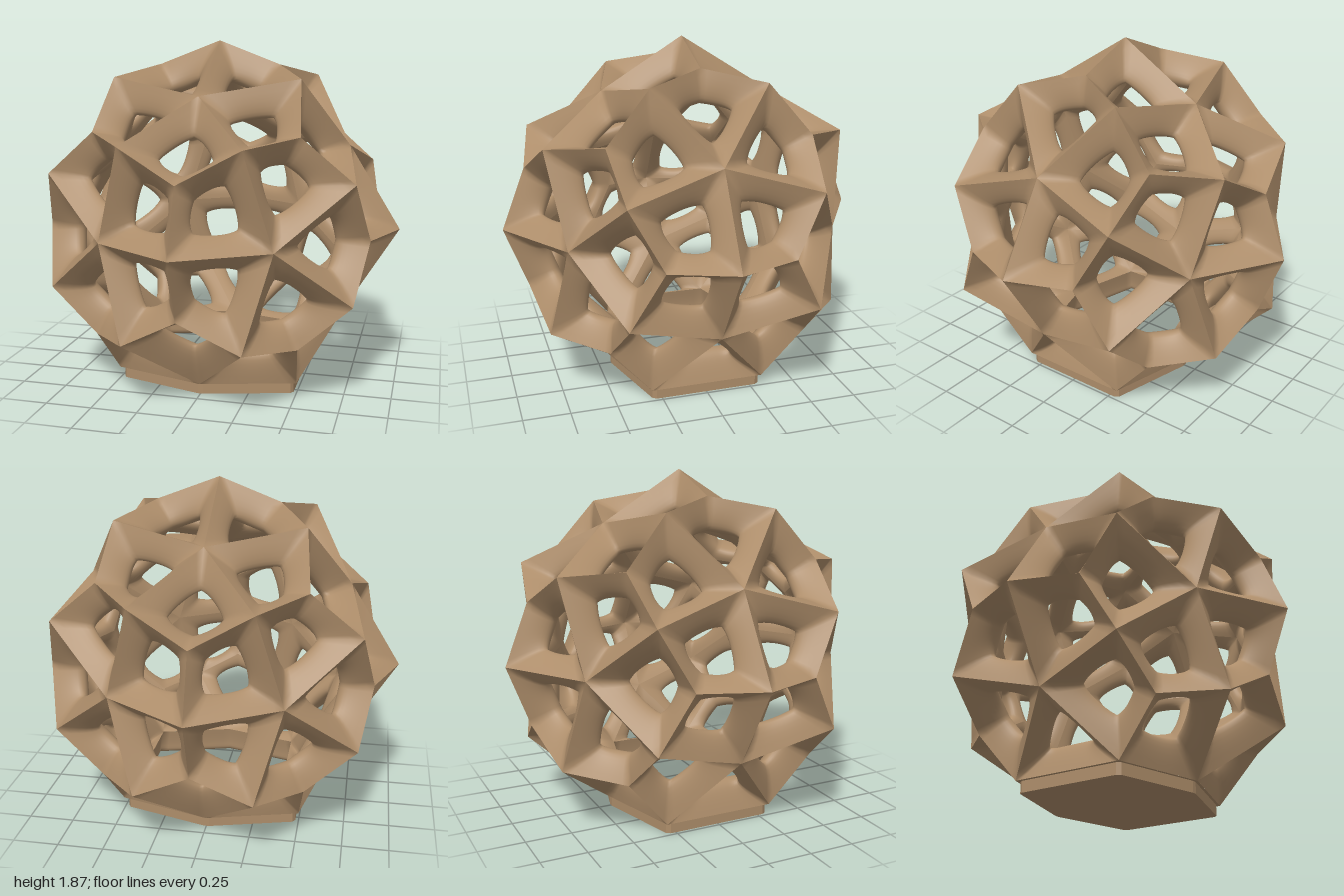
import * as THREE from 'three';
import { mergeGeometries } from 'three/addons/utils/BufferGeometryUtils.js';

const CENTRE_Y = 0.87, FLOOR = -0.809;
const vec = (x, y, z) => new THREE.Vector3(x, y, z);

// All sign changes and cyclic shifts of one point
function orbit(x, y, z, cyclic = true) {
  const points = [];
  for (let shift = 0; shift < (cyclic ? 3 : 1); shift++) {
    for (const sx of x ? [1, -1] : [1])
      for (const sy of y ? [1, -1] : [1])
        for (const sz of z ? [1, -1] : [1]) {
          const p = [x * sx, y * sy, z * sz];
          points.push(vec(p[shift], p[(shift + 1) % 3], p[(shift + 2) % 3]));
        }
  }
  return points;
}

// Flatten the underside so the lattice sits on a hexagon
function settle(p) {
  if (p.y > -0.7) return p;
  return Math.abs(p.z) < 0.01 ? vec(Math.sign(p.x) * 0.5, FLOOR, 0) : vec(p.x, FLOOR, p.z);
}

// Closed loop around the corners, optionally with rounded corners
function loopPoints(corners, roundness, steps = 10) {
  const n = corners.length, out = [];
  corners.forEach((c, k) => {
    const a = corners[(k + n - 1) % n].clone().lerp(c, 0.5);
    const b = corners[(k + 1) % n].clone().lerp(c, 0.5);
    const arc = new THREE.QuadraticBezierCurve3(a, c, b);
    for (let i = 0; i < steps; i++) {
      const t = i / steps;
      const sharp = t < 0.5 ? a.clone().lerp(c, 2 * t) : c.clone().lerp(b, 2 * t - 1);
      out.push(sharp.lerp(arc.getPoint(t), roundness));
    }
  });
  return out;
}

// One cell: sharp outer ridge, dished face, rounded hole lip, inner ridge
function cell(corners, centre, { size, outerDepth, innerDepth, roundness }) {
  const normal = corners[1].clone().sub(corners[0]).cross(corners[2].clone().sub(corners[1]));
  if (normal.dot(centre) < 0) corners = [...corners].reverse();
  const inward = centre.clone().normalize().negate();
  const ridge = loopPoints(corners, 0);
  const hole = loopPoints(corners, roundness).map(p => p.sub(centre).multiplyScalar(size).add(centre));
  const n = ridge.length, half = 6, rows = half * 2 + 1;
  const positions = [], index = [];
  for (let i = 0; i < n; i++) {
    const A = hole[i].clone().addScaledVector(inward, outerDepth);
    const B = hole[i].clone().addScaledVector(inward, innerDepth);
    const tip = A.clone().lerp(B, 0.5);
    const front = new THREE.QuadraticBezierCurve3(ridge[i], A, tip);
    const back = new THREE.QuadraticBezierCurve3(tip, B, ridge[i].clone().multiplyScalar(0.8));
    for (let j = 0; j < rows; j++) {
      const p = j <= half ? front.getPoint(j / half) : back.getPoint((j - half) / half);
      positions.push(p.x, p.y, p.z);
    }
    const a = i * rows, b = ((i + 1) % n) * rows;
    for (let j = 0; j < rows - 1; j++)
      index.push(a + j, b + j, b + j + 1, a + j, b + j + 1, a + j + 1);
  }
  const g = new THREE.BufferGeometry();
  g.setAttribute('position', new THREE.Float32BufferAttribute(positions, 3));
  g.setIndex(index);
  g.computeVertexNormals();
  return g;
}

// Foot: hexagonal wall with a floor, open at the top
function footGeometry(outline, height) {
  const positions = [];
  outline.forEach((a, i) => {
    const b = outline[(i + 1) % outline.length];
    positions.push(a.x, 0, a.y, a.x, height, a.y, b.x, 0, b.y);
    positions.push(b.x, 0, b.y, a.x, height, a.y, b.x, height, b.y);
  });
  const wall = new THREE.BufferGeometry();
  wall.setAttribute('position', new THREE.Float32BufferAttribute(positions, 3));
  wall.computeVertexNormals();
  const floor = new THREE.ShapeGeometry(new THREE.Shape(outline)).rotateX(Math.PI / 2).toNonIndexed();
  floor.deleteAttribute('uv');
  return mergeGeometries([wall, floor]);
}

export function createModel() {
  const group = new THREE.Group();
  const clay = new THREE.MeshStandardMaterial({ color: 0xad8d6a });
  clay.name = 'warm tan';

  // Star points, pentagon centres and triangle centres
  const tips = [...orbit(1, 0, 0), ...orbit(0.309, 0.5, 0.809)];
  const fives = orbit(0.4472, 0, 0.7236);
  const threes = [...orbit(0, 0.3333, 0.8727), ...orbit(0.5393, 0.5393, 0.5393, false)];

  // Kite cells
  const kiteStyle = { size: 0.52, outerDepth: 0.085, innerDepth: 0.16, roundness: 0.6 };
  const cells = [];
  for (const f of fives) for (const t of threes) {
    const shared = tips.filter(v => v.distanceTo(f) < 0.6 && v.distanceTo(t) < 0.45);
    if (shared.length !== 2 || shared.some(v => v.y < -0.9)) continue;
    const corners = [f, shared[0], t, shared[1]].map(settle);
    const centre = vec(0, 0, 0);
    corners.forEach(p => centre.addScaledVector(p, 0.25));
    centre.lerp(corners[2], 0.2);
    cells.push(cell(corners, centre, kiteStyle));
  }

  // Hexagonal opening underneath
  const hexagon = [[0.5, 0.309], [0, 0.447], [-0.5, 0.309], [-0.5, -0.309], [0, -0.447], [0.5, -0.309]];
  cells.push(cell(hexagon.map(([x, z]) => vec(x, FLOOR, z)), vec(0, FLOOR, 0),
    { size: 0.84, outerDepth: 0, innerDepth: 0.08, roundness: 0 }));

  const lattice = new THREE.Mesh(mergeGeometries(cells), clay);
  lattice.name = 'latticeShell';
  lattice.position.y = CENTRE_Y;
  group.add(lattice);

  // Foot, with slightly clipped corners
  const corners = hexagon.map(([x, z]) => new THREE.Vector2(x, z).multiplyScalar(0.965));
  const outline = corners.flatMap((c, i) => [
    c.clone().lerp(corners[(i + 5) % 6], 0.03),
    c.clone().lerp(corners[(i + 1) % 6], 0.03),
  ]);
  const foot = new THREE.Mesh(footGeometry(outline, CENTRE_Y + FLOOR), clay);
  foot.name = 'foot';
  group.add(foot);
  return group;
}
